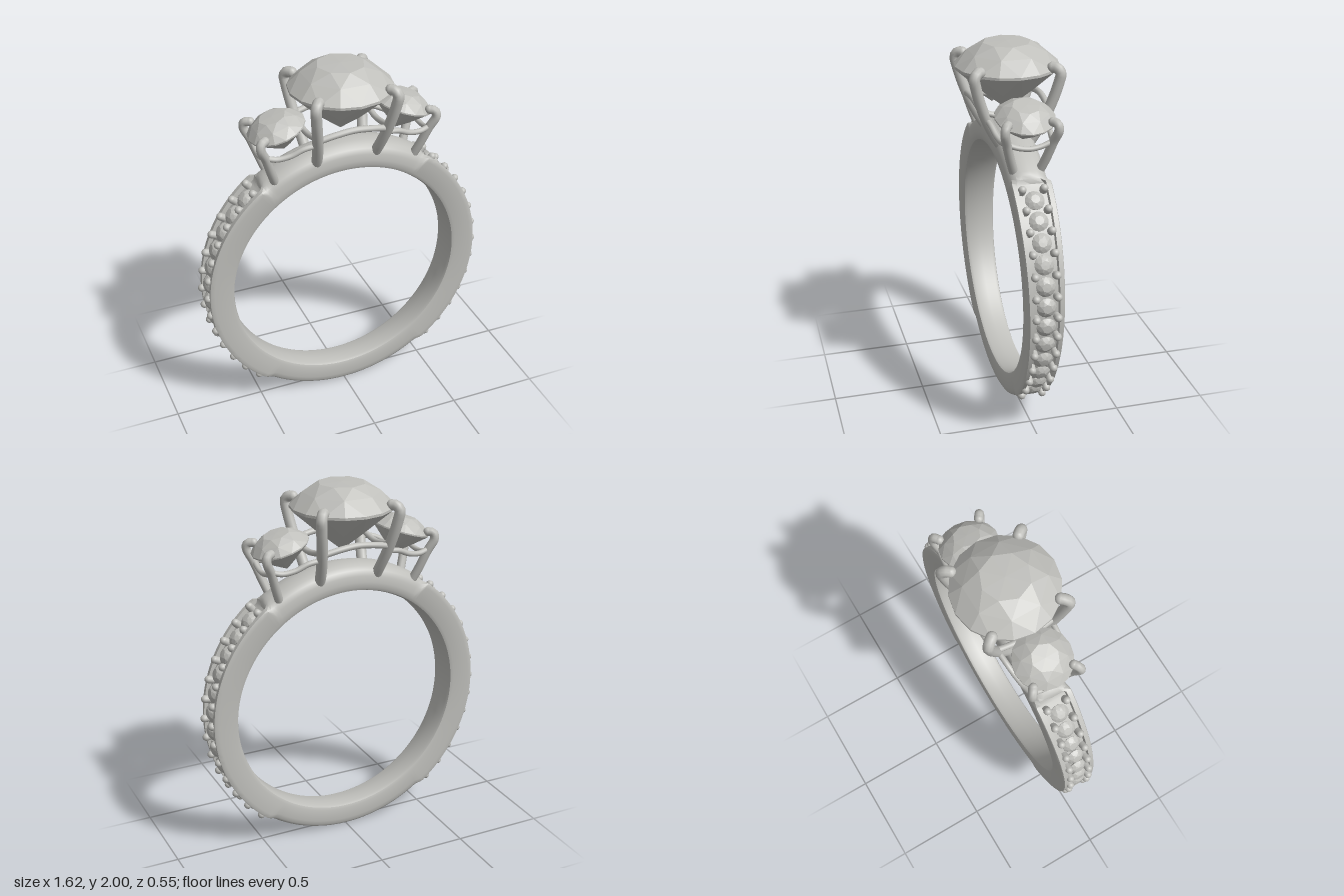
import * as THREE from 'three';
import { toCreasedNormals } from 'three/addons/utils/BufferGeometryUtils.js';
import { ConvexGeometry } from 'three/addons/geometries/ConvexGeometry.js';

const CENTER_Y = 0.78;
const rad = THREE.MathUtils.degToRad;

// Half cross-sections as [fraction of half width, radius], inner centre to outer centre
const INNER = [[0, 0.645], [0.75, 0.645], [0.93, 0.652], [1, 0.668]];
const PAVE = [...INNER, [1, 0.76], [1, 0.778], [0.96, 0.785], [0.72, 0.785], [0.69, 0.762], [0, 0.762]];
const TOP = [...INNER, [1, 0.695], [0.96, 0.73], [0.86, 0.76], [0.66, 0.778], [0.38, 0.788], [0, 0.792]];
const BOTTOM = [...INNER, [1, 0.735], [0.96, 0.758], [0.87, 0.77], [0.7, 0.777], [0.4, 0.78], [0, 0.78]];

// Band swept around the finger, blending between the three cross-sections
function bandGeometry() {
  const pos = [], index = [], steps = 240, count = PAVE.length * 2 - 2;
  const smooth = THREE.MathUtils.smoothstep;
  for (let i = 0; i < steps; i++) {
    const a = (i / steps) * Math.PI * 2;
    const fromTop = Math.abs(THREE.MathUtils.radToDeg(Math.atan2(Math.cos(a), Math.sin(a))));
    const plain = fromTop < 90 ? TOP : BOTTOM;
    const t = smooth(fromTop, 35, 38) * (1 - smooth(fromTop, 141, 145));
    const half = PAVE.map(([z, r], k) => {
      const rr = THREE.MathUtils.lerp(plain[k][1], r, t);
      const w = 0.076 + 0.021 * (CENTER_Y + rr * Math.sin(a));
      return [THREE.MathUtils.lerp(plain[k][0], z, t) * w, rr];
    });
    const loop = [...half, ...half.slice(1, -1).reverse().map(([z, r]) => [-z, r])];
    for (const [z, r] of loop) pos.push(r * Math.cos(a), r * Math.sin(a), z);
    for (let j = 0; j < count; j++) {
      const n = (i + 1) % steps, k = (j + 1) % count;
      const p = i * count + j, q = i * count + k, s = n * count + j, u = n * count + k;
      index.push(p, q, s, q, u, s);
    }
  }
  const g = new THREE.BufferGeometry();
  g.setAttribute('position', new THREE.Float32BufferAttribute(pos, 3));
  g.setIndex(index);
  return toCreasedNormals(g, rad(35));
}

// Faceted round stone: table, crown, girdle, pavilion and culet, girdle at y = 0
function gemGeometry(radius) {
  const pts = [];
  const ring = (n, r, y, turn = 0) => {
    for (let i = 0; i < n; i++) {
      const a = ((i + turn) / n) * Math.PI * 2;
      pts.push(new THREE.Vector3(Math.cos(a) * r * radius, y * radius, Math.sin(a) * r * radius));
    }
  };
  ring(8, 0.46, 0.44);
  ring(8, 0.75, 0.27, 0.5);
  ring(16, 1, 0.02);
  ring(16, 1, -0.03);
  ring(8, 0.5, -0.49, 0.5);
  ring(1, 0, 0.455);
  ring(1, 0, -0.88);
  return new ConvexGeometry(pts);
}

export function createModel() {
  const root = new THREE.Group();
  root.name = 'ring';
  const silver = new THREE.MeshStandardMaterial({ color: 0xbfbfbb });
  silver.name = 'silver grey';

  const add = (name, geometry, parent = root) => {
    const m = new THREE.Mesh(geometry, silver);
    m.name = name;
    parent.add(m);
    return m;
  };
  const group = (name) => {
    const g = new THREE.Group();
    g.name = name;
    root.add(g);
    return g;
  };

  // Round wire through points, with rounded ends
  const wire = (name, points, r, parent) => {
    const v = points.map((p) => new THREE.Vector3(...p));
    add(name, new THREE.TubeGeometry(new THREE.CatmullRomCurve3(v), 28, r, 12), parent);
    for (const end of [v[0], v[v.length - 1]]) {
      add(name + 'End', new THREE.SphereGeometry(r, 12, 8), parent).position.copy(end);
    }
  };

  add('band', bandGeometry()).position.y = CENTER_Y;

  // Main stones
  add('centerStone', gemGeometry(0.276)).position.y = 1.877;
  for (const s of [1, -1]) {
    const stone = add(s > 0 ? 'leftSideStone' : 'rightSideStone', gemGeometry(0.156));
    stone.position.set(s * 0.355, 1.705, 0);
    stone.rotation.z = -s * rad(17);
  }

  // Prongs and gallery wires
  const setting = group('setting');
  for (const x of [1, -1]) {
    for (const z of [1, -1]) {
      const at = (list) => list.map(([px, py, pz]) => [x * px, py, z * pz]);
      wire('centerProng', at([[0.163, 1.47, 0.06], [0.175, 1.56, 0.115], [0.195, 1.68, 0.172],
        [0.217, 1.82, 0.216], [0.222, 1.878, 0.225], [0.208, 1.9, 0.207], [0.194, 1.9, 0.19]]), 0.029, setting);
      wire('sideProng', at([[0.39, 1.42, 0.065], [0.42, 1.5, 0.092], [0.455, 1.6, 0.12],
        [0.486, 1.67, 0.138], [0.48, 1.698, 0.132], [0.455, 1.703, 0.115]]), 0.024, setting);
      wire('sideGalleryWire', at([[0.188, 1.645, 0.155], [0.26, 1.635, 0.15], [0.33, 1.605, 0.14],
        [0.4, 1.595, 0.13], [0.458, 1.61, 0.122]]), 0.015, setting);
    }
    wire('outerGalleryWire', [[x * 0.45, 1.6, 0.117], [x * 0.455, 1.58, 0.06], [x * 0.458, 1.572, 0],
      [x * 0.455, 1.58, -0.06], [x * 0.45, 1.6, -0.117]], 0.014, setting);
    wire('crossGalleryWire', [[x * 0.195, 1.69, 0.175], [x * 0.2, 1.665, 0.08], [x * 0.2, 1.655, 0],
      [x * 0.2, 1.665, -0.08], [x * 0.195, 1.69, -0.175]], 0.016, setting);
    wire('centerGalleryWire', [[-0.195, 1.675, x * 0.172], [-0.1, 1.695, x * 0.18], [0, 1.705, x * 0.182],
      [0.1, 1.695, x * 0.18], [0.195, 1.675, x * 0.172]], 0.017, setting);
  }

  // Rows of small stones with bead prongs on both shoulders
  const smallGem = gemGeometry(0.051);
  const bead = new THREE.CapsuleGeometry(0.021, 0.03, 5, 12);
  const step = 98 / 12;
  for (const s of [1, -1]) {
    const row = group(s > 0 ? 'leftStoneRow' : 'rightStoneRow');
    const place = (mesh, deg, r, z) => {
      const a = rad(deg);
      mesh.position.set(s * r * Math.cos(a), CENTER_Y + r * Math.sin(a), z);
      mesh.rotation.z = s * (a - Math.PI / 2);
    };
    for (let i = 0; i <= 12; i++) {
      const deg = 49.5 - i * step;
      for (const z of [0.057, -0.057]) place(add('bead', bead, row), deg, 0.774, z);
      if (i < 12) place(add('smallStone', smallGem, row), deg - step / 2, 0.77, 0);
    }
  }
  return root;
}
